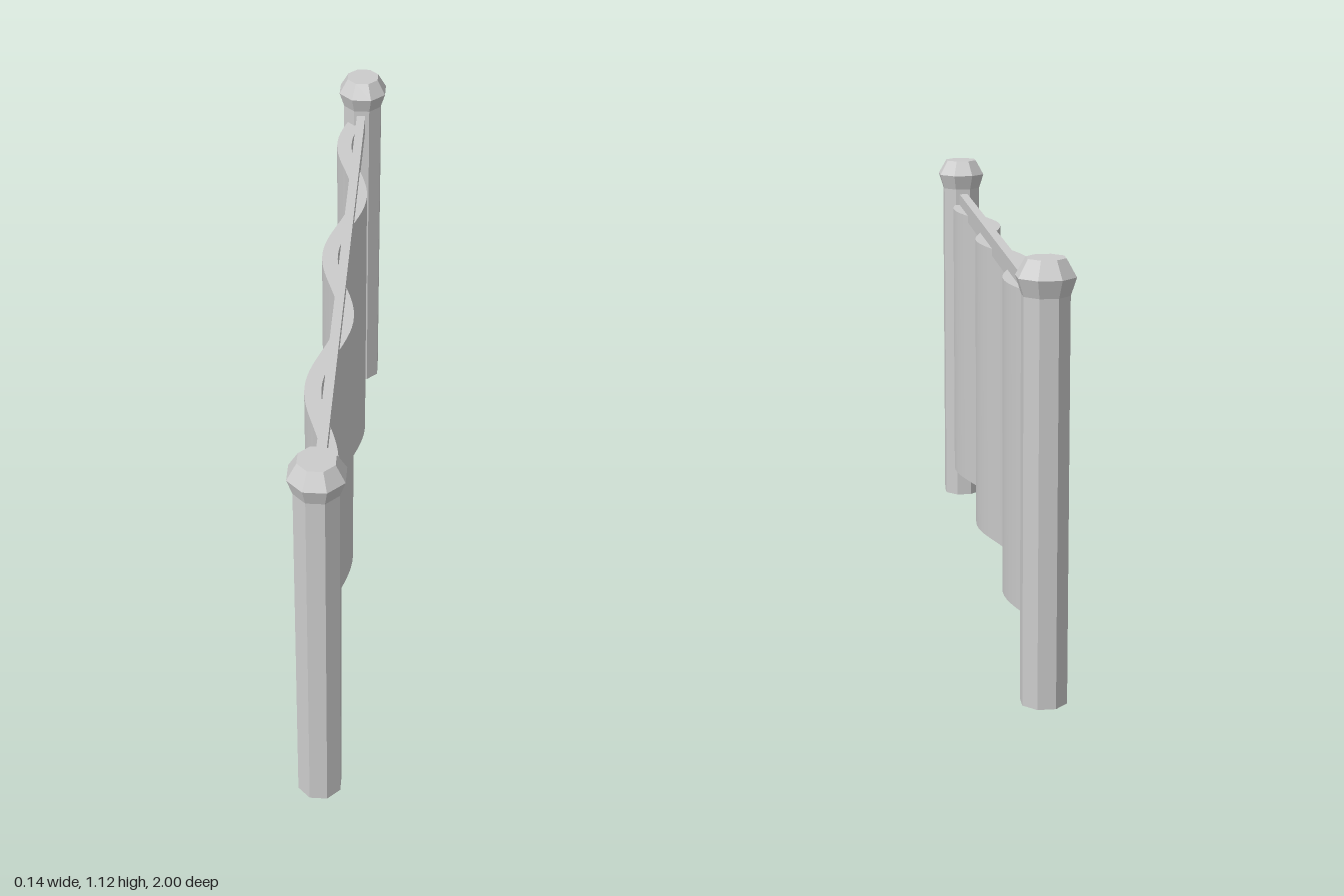
import * as THREE from 'three';
import { toCreasedNormals } from 'three/addons/utils/BufferGeometryUtils.js';

export function createModel() {
  const group = new THREE.Group();
  const flat = new THREE.MeshStandardMaterial({ color: 0xcccccc, flatShading: true });
  const smooth = new THREE.MeshStandardMaterial({ color: 0xcccccc });
  const add = (name, geometry, material) => {
    const mesh = new THREE.Mesh(geometry, material);
    mesh.name = name;
    group.add(mesh);
    return mesh;
  };

  // Octagonal posts with flared, bevelled heads
  const profile = [[0, 0], [0.061, 0], [0.061, 1.035], [0.076, 1.08], [0.05, 1.125], [0, 1.125]]
    .map(([r, y]) => new THREE.Vector2(r, y));
  const post = new THREE.LatheGeometry(profile, 8).rotateY(Math.PI / 8);
  add('frontPost', post, flat).position.z = 0.93;
  add('backPost', post, flat).position.z = -0.93;

  // Straight rail between the posts
  add('topRail', new THREE.BoxGeometry(0.026, 0.055, 1.8), flat).position.set(-0.002, 0.992, 0);

  // Thick wavy panel hanging from the rail
  const bottom = 0.118, top = 0.985, end = 0.9, steps = 72, halfThickness = 0.022;
  const wave = (z) => -0.014 + 0.032 * Math.cos((z - 0.16) / 0.617 * Math.PI * 2);
  const rightFace = [], leftFace = [];
  for (let i = 0; i <= steps; i++) {
    const z = -end + (2 * end * i) / steps;
    rightFace.push(new THREE.Vector2(wave(z) - halfThickness, -z));
    leftFace.push(new THREE.Vector2(wave(z) + halfThickness, -z));
  }
  const outline = new THREE.Shape([...rightFace, ...leftFace.reverse()]);
  const panel = new THREE.ExtrudeGeometry(outline, { depth: top - bottom, bevelEnabled: false });
  panel.rotateX(-Math.PI / 2).translate(0, bottom, 0);
  add('wavyPanel', toCreasedNormals(panel, 0.6), smooth);

  return group;
}
